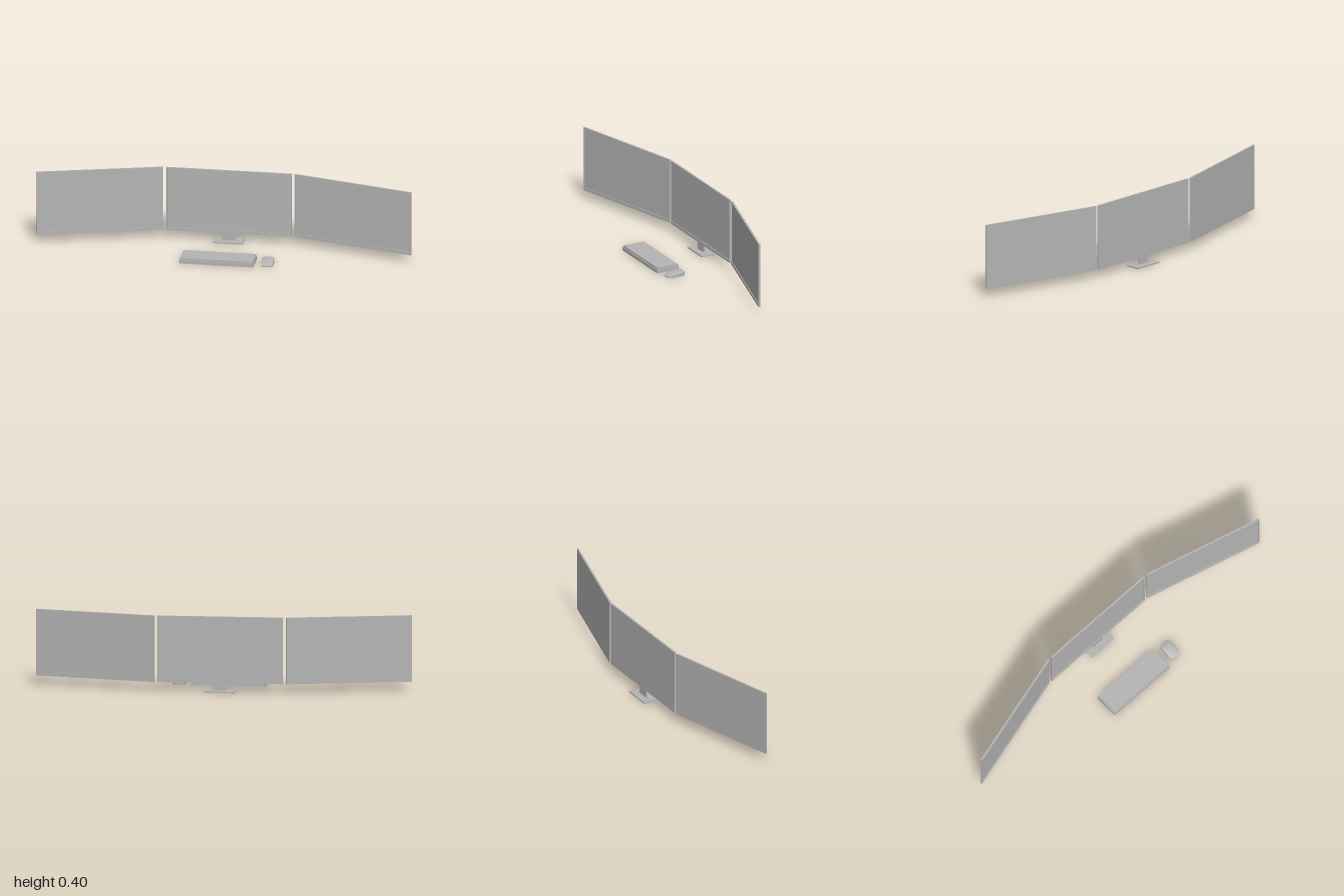
import * as THREE from 'three';

const gray = new THREE.MeshStandardMaterial({ color: 0xb4b4b4 });
gray.name = 'plain gray';

function box(name, w, h, d, x, y, z) {
  const mesh = new THREE.Mesh(new THREE.BoxGeometry(w, h, d), gray);
  mesh.name = name;
  mesh.position.set(x, y, z);
  return mesh;
}

function rectangle(path, x0, y0, x1, y1) {
  path.moveTo(x0, y0).lineTo(x1, y0).lineTo(x1, y1).lineTo(x0, y1).closePath();
  return path;
}

// Thin panel: raised bezel around a recessed screen; origin at its centre.
function monitor(name) {
  const W = 0.335, H = 0.177, T = 0.01, back = 0.006;
  const group = new THREE.Group();
  group.name = name;
  const outline = new THREE.Shape();
  rectangle(outline, -W, -H, W, H);
  outline.holes.push(rectangle(new THREE.Path(), -W + 0.007, -H + 0.016, W - 0.007, H - 0.007));
  const bezel = new THREE.Mesh(
    new THREE.ExtrudeGeometry(outline, { depth: T - back, bevelEnabled: false }), gray);
  bezel.name = 'bezel';
  bezel.position.z = -T / 2 + back;
  group.add(bezel, box('screenAndBack', W * 2, H * 2, back, 0, 0, -T / 2 + back / 2));
  return group;
}

// Rounded mouse: rings of one outline, lifted to a height that slopes down to the front.
function mouseGeometry(w, l) {
  const N = 40, positions = [], index = [];
  const height = (z) => {
    const t = (z + l / 2) / l; // 0 at the far end, 1 at the near end
    return 0.027 - 0.02 * t * t;
  };
  const rings = [[0.001, 0], [1, 0], [1, 0.72], [1, 0.72], [0.8, 0.87], [0.5, 0.97], [0.001, 1]];
  rings.forEach(([scale, lift]) => {
    for (let i = 0; i < N; i++) {
      const a = (i / N) * Math.PI * 2, c = Math.cos(a), s = Math.sin(a);
      const x = (w / 2) * scale * Math.sign(c) * Math.abs(c) ** 0.5;
      const z = (l / 2) * scale * Math.sign(s) * Math.abs(s) ** 0.5;
      positions.push(x, height(z) * lift, z);
    }
  });
  for (let r = 0; r < rings.length - 1; r++) {
    if (r === 2) continue; // crease between wall and top
    for (let i = 0; i < N; i++) {
      const j = (i + 1) % N, a = r * N + i, b = r * N + j, c = a + N, d = b + N;
      index.push(a, c, b, b, c, d);
    }
  }
  const geometry = new THREE.BufferGeometry();
  geometry.setAttribute('position', new THREE.Float32BufferAttribute(positions, 3));
  geometry.setIndex(index);
  const flat = geometry.toNonIndexed();
  flat.computeVertexNormals();
  return flat;
}

export function createModel() {
  const model = new THREE.Group();
  model.name = 'tripleMonitorDesk';

  // Three monitors, the outer two turned inward
  const centre = monitor('centreMonitor');
  centre.position.set(0, 0.224, -0.158);
  model.add(centre);
  for (const side of [1, -1]) {
    const panel = monitor(side > 0 ? 'leftMonitor' : 'rightMonitor');
    panel.position.set(side * 0.675, 0.224, -0.0715);
    panel.rotation.y = -side * Math.PI / 12;
    model.add(panel);
  }

  // Stand under the centre monitor
  model.add(box('standBase', 0.16, 0.007, 0.08, 0, 0.0035, -0.16));
  model.add(box('standNeck', 0.07, 0.045, 0.007, 0, 0.0285, -0.159));

  // Keyboard: case with a slightly smaller key slab
  model.add(box('keyboardCase', 0.396, 0.019, 0.132, -0.013, 0.0095, 0.134));
  model.add(box('keyboardKeys', 0.386, 0.009, 0.122, -0.013, 0.0235, 0.134));

  // Mouse
  const mouse = new THREE.Mesh(mouseGeometry(0.066, 0.102), gray);
  mouse.name = 'mouse';
  mouse.position.set(0.251, 0, 0.131);
  model.add(mouse);

  return model;
}
